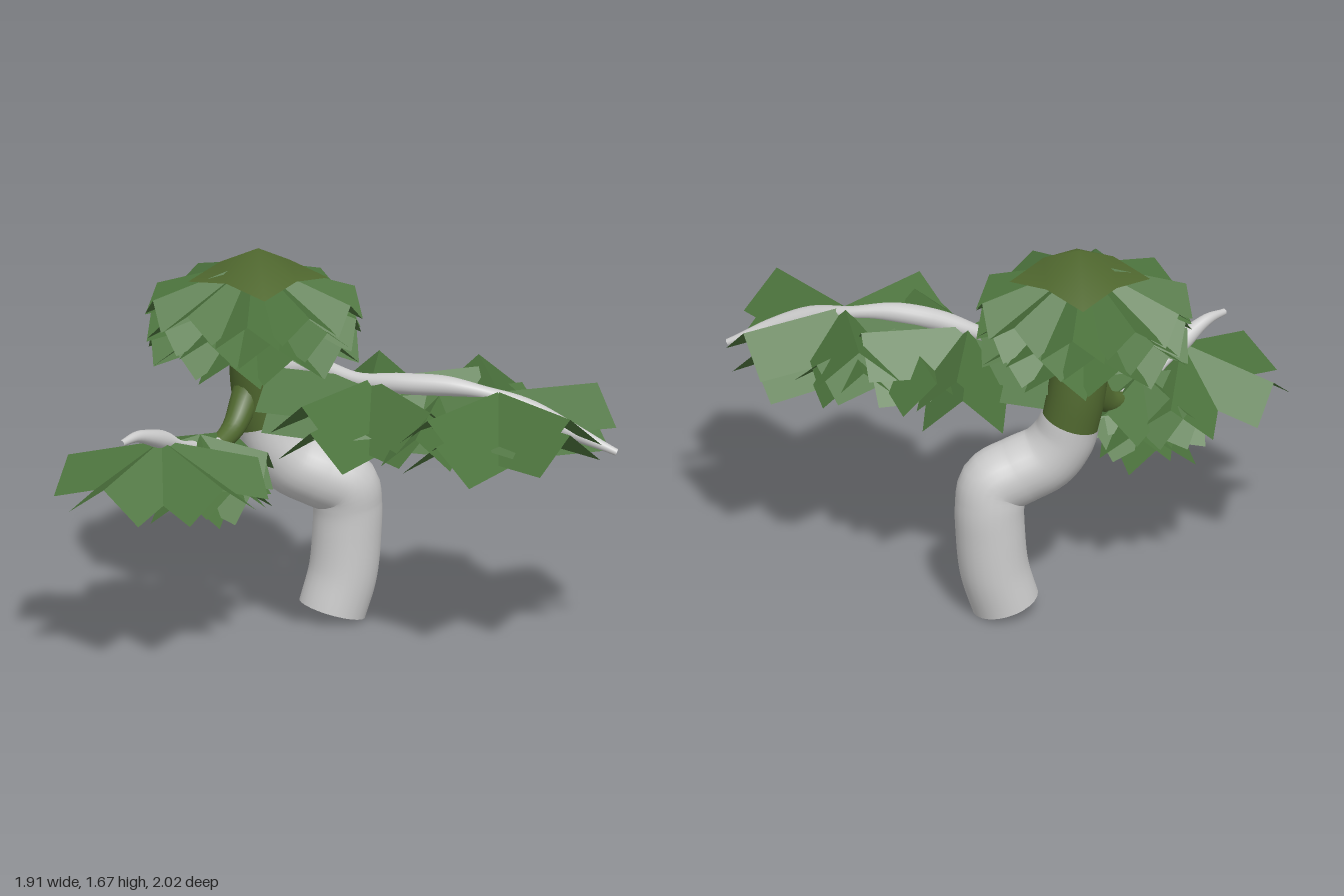
import * as THREE from 'three';
import { mergeGeometries } from 'three/addons/utils/BufferGeometryUtils.js';

const bark = new THREE.MeshStandardMaterial({ color: 0xcccccc });
const moss = new THREE.MeshStandardMaterial({ color: 0x50682f, side: THREE.DoubleSide });
const leaf = new THREE.MeshStandardMaterial({ color: 0x4c733d, side: THREE.DoubleSide, flatShading: true });

function add(parent, name, geometry, material) {
  const mesh = new THREE.Mesh(geometry, material);
  mesh.name = name;
  parent.add(mesh);
  return mesh;
}

const curveOf = (points) => new THREE.CatmullRomCurve3(points.map((p) => new THREE.Vector3(...p)));

// Tube whose radius runs smoothly through the listed values
function limb(points, radii, segments = 32, sides = 20) {
  const curve = curveOf(points);
  const geo = new THREE.TubeGeometry(curve, segments, 1, sides);
  const profile = new THREE.SplineCurve(radii.map((r, i) => new THREE.Vector2(i, r)));
  const pos = geo.attributes.position;
  const v = new THREE.Vector3();
  for (let i = 0; i < pos.count; i++) {
    const t = Math.floor(i / (sides + 1)) / segments;
    const c = curve.getPointAt(t);
    v.fromBufferAttribute(pos, i).sub(c).multiplyScalar(profile.getPoint(t).y).add(c);
    pos.setXYZ(i, v.x, v.y, v.z);
  }
  return geo;
}

// Leaf card folded along its ridge, running out along +x
function leafCard(length, width, drop, fold) {
  const geo = new THREE.PlaneGeometry(length, width, 1, 2).rotateX(-Math.PI / 2).translate(length / 2, 0, 0);
  const pos = geo.attributes.position;
  for (let i = 0; i < pos.count; i++) {
    const out = pos.getX(i) / length;
    pos.setY(i, -drop * out - (fold * Math.abs(pos.getZ(i))) / (width / 2));
  }
  return geo;
}

// Tiers of folded cards fanned round one point, at the given angles in degrees
function leafCluster({ at, length, width, drop, fold, angles, tiers, gap, twist, shrink, sway }) {
  const cards = [];
  for (let t = 0; t < tiers; t++) {
    angles.forEach((angle, k) => {
      const card = leafCard(length * (1 - shrink * t), width, drop + sway * Math.sin(k * 2.4 + t), fold);
      card.rotateY(THREE.MathUtils.degToRad(angle + twist * t));
      card.translate(at[0], at[1] - gap * t, at[2]);
      cards.push(card);
    });
  }
  return mergeGeometries(cards);
}

const fan = (count, start) => Array.from({ length: count }, (_, i) => start + (i * 360) / count);

export function createModel() {
  const tree = new THREE.Group();
  tree.name = 'bonsaiTree';

  // Trunk: leaning foot, sharp elbow, mossy neck and thin leader
  const trunkPath = [
    [0.39, 0.04, -0.335], [0.43, 0.2, -0.31], [0.445, 0.38, -0.3], [0.445, 0.5, -0.297], [0.425, 0.59, -0.3],
    [0.34, 0.65, -0.37], [0.255, 0.71, -0.45], [0.205, 0.8, -0.5], [0.187, 0.89, -0.525],
  ];
  add(tree, 'lowerTrunk', limb(trunkPath,
    [0.145, 0.147, 0.147, 0.147, 0.147, 0.147, 0.145, 0.138, 0.128], 48, 24), bark);
  const foot = add(tree, 'trunkFoot', new THREE.CircleGeometry(0.145, 24), bark);
  foot.position.set(...trunkPath[0]);
  const down = curveOf(trunkPath).getTangentAt(0).negate();
  foot.quaternion.setFromUnitVectors(new THREE.Vector3(0, 0, 1), down);
  add(tree, 'mossyTrunk', limb(
    [[0.19, 0.86, -0.52], [0.17, 1.0, -0.54], [0.15, 1.14, -0.545], [0.14, 1.28, -0.54]],
    [0.122, 0.124, 0.12, 0.1], 16, 24), moss);
  add(tree, 'leader', limb(
    [[0.14, 1.24, -0.54], [0.15, 1.4, -0.53], [0.135, 1.58, -0.53]], [0.09, 0.06, 0.02], 12), bark);

  // Right branch: mossy shoulder, grey tip
  add(tree, 'rightBranchShoulder', limb(
    [[0.15, 1.16, -0.54], [0.07, 1.0, -0.55], [-0.02, 0.9, -0.54], [-0.15, 0.85, -0.53]],
    [0.075, 0.065, 0.05, 0.038], 16), moss);
  add(tree, 'rightBranch', limb(
    [[-0.13, 0.855, -0.53], [-0.3, 0.89, -0.525], [-0.49, 0.97, -0.515], [-0.59, 1.01, -0.515],
      [-0.68, 1.035, -0.52], [-0.78, 1.03, -0.52]],
    [0.038, 0.036, 0.02, 0.04, 0.028, 0.014]), bark);

  // Long front branch
  add(tree, 'frontBranch', limb(
    [[0.18, 1.14, -0.48], [0.22, 1.17, -0.28], [0.24, 1.15, -0.06], [0.29, 1.165, 0.14], [0.38, 1.17, 0.34],
      [0.47, 1.14, 0.51], [0.52, 1.09, 0.66], [0.59, 1.02, 0.81], [0.7, 0.93, 0.97]],
    [0.06, 0.04, 0.032, 0.044, 0.044, 0.028, 0.046, 0.035, 0.015], 48), bark);

  // Crown: broad stacked skirt with a bent square cap
  add(tree, 'crownLeaves', leafCluster({
    at: [0.125, 1.61, -0.545], length: 0.44, width: 0.27, drop: 0.145, fold: 0.1,
    angles: fan(10, 0), tiers: 3, gap: 0.085, twist: 13, shrink: 0.005, sway: 0.01,
  }), leaf);
  const cap = new THREE.PlaneGeometry(0.42, 0.42, 2, 2).rotateX(-Math.PI / 2);
  const pos = cap.attributes.position;
  for (let i = 0; i < pos.count; i++) {
    const off = (Math.abs(pos.getX(i)) + Math.abs(pos.getZ(i))) / 0.21;
    pos.setY(i, [1.665, 1.56, 1.525][Math.round(off)]);
  }
  cap.computeVertexNormals();
  add(tree, 'crownCap', cap, moss).position.set(0.135, 0, -0.53);

  // Leaf pads along the branches, five folded cards to a tier
  const pads = {
    rightOuterLeaves: { at: [-0.52, 0.98, -0.515], length: 0.42, width: 0.36, drop: 0.11, fold: 0.13, angles: [184, 110, 36, -36, -102], tiers: 1, gap: 0, twist: 0, shrink: 0, sway: 0 },
    rightInnerLeaves: { at: [-0.26, 0.94, -0.52], length: 0.29, width: 0.3, drop: 0.07, fold: 0.12, angles: fan(5, 12), tiers: 3, gap: 0.06, twist: 25, shrink: 0.04, sway: 0.03 },
    frontOuterLeaves: { at: [0.46, 1.165, 0.52], length: 0.47, width: 0.35, drop: 0.01, fold: 0.15, angles: [180, 108, 50, -23, -100], tiers: 2, gap: 0.1, twist: 3, shrink: 0.06, sway: 0.025 },
    frontMiddleLeaves: { at: [0.38, 1.13, 0.27], length: 0.45, width: 0.3, drop: 0.05, fold: 0.13, angles: fan(5, -10), tiers: 1, gap: 0, twist: 0, shrink: 0, sway: 0.02 },
    frontInnerLeaves: { at: [0.25, 1.17, 0.0], length: 0.465, width: 0.34, drop: 0.01, fold: 0.15, angles: fan(5, 180), tiers: 2, gap: 0.1, twist: 3, shrink: 0.06, sway: 0.025 },
  };
  for (const [name, pad] of Object.entries(pads)) add(tree, name, leafCluster(pad), leaf);

  return tree;
}
